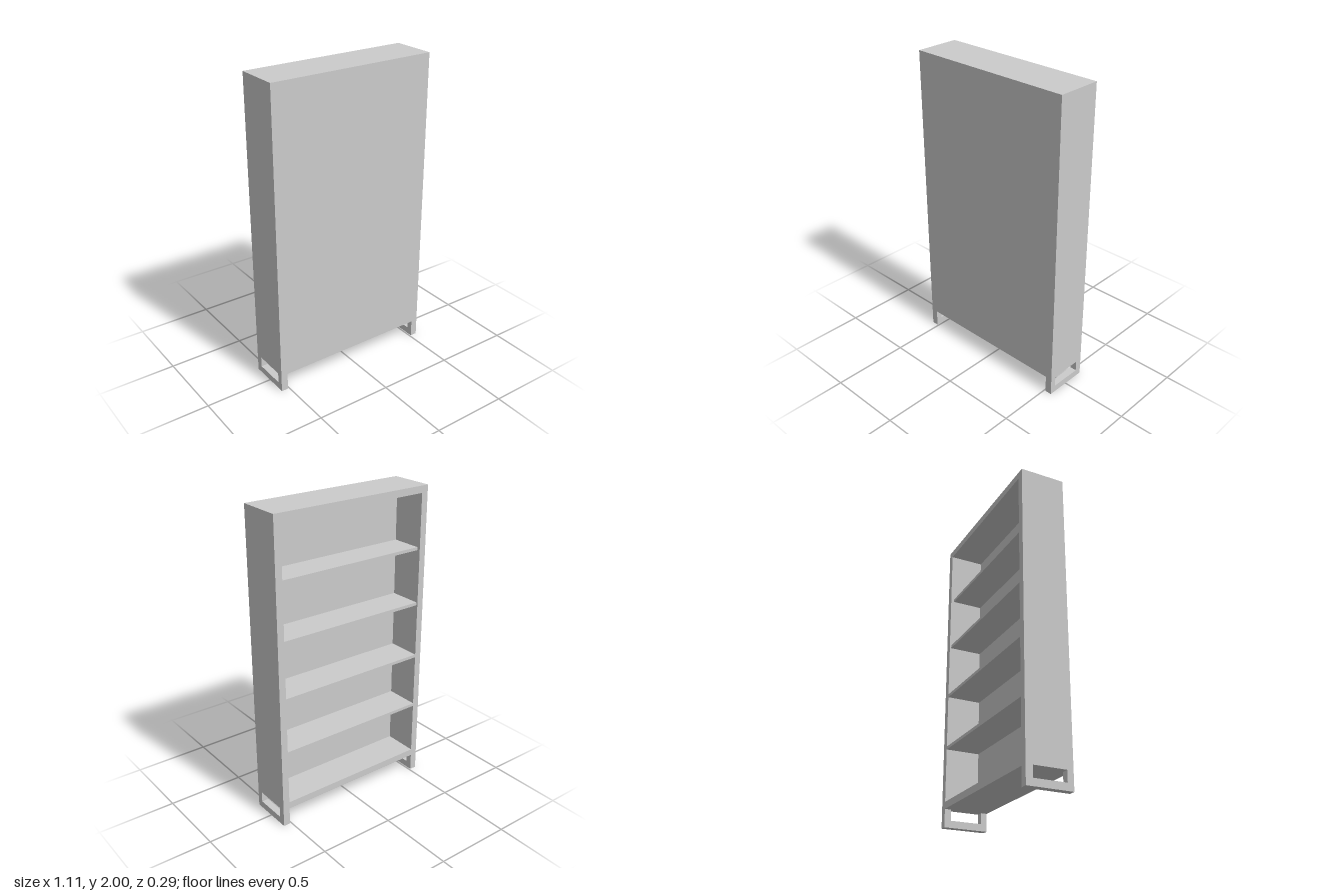
import * as THREE from 'three';

export function createModel() {
  const group = new THREE.Group();
  group.name = 'bookcase';
  const material = new THREE.MeshStandardMaterial({ color: 0xcccccc });

  const W = 0.555, D = 0.145, H = 2; // half width, half depth, height
  const T = 0.045;                   // frame thickness
  const base = 0.115;                // underside of the case
  const panelZ = 0.08;               // inner face of the closed panel
  const inner = 2 * (W - T);

  const add = (name, geometry) => {
    const mesh = new THREE.Mesh(geometry, material);
    mesh.name = name;
    group.add(mesh);
    return mesh;
  };

  // Board between the sides, given by its y and z limits
  const board = (name, y0, y1, z0, z1) => {
    const mesh = add(name, new THREE.BoxGeometry(inner, y1 - y0, z1 - z0));
    mesh.position.set(0, (y0 + y1) / 2, (z0 + z1) / 2);
  };

  // Side panels, each with a slot that forms a sled foot
  const rect = (P, z0, z1, y0, y1) => {
    const p = new P();
    p.moveTo(z0, y0);
    p.lineTo(z1, y0);
    p.lineTo(z1, y1);
    p.lineTo(z0, y1);
    p.closePath();
    return p;
  };
  const profile = rect(THREE.Shape, -D, D, 0, H);
  profile.holes.push(rect(THREE.Path, -0.102, 0.106, T, base));
  const sideGeometry = new THREE.ExtrudeGeometry(profile, { depth: T, bevelEnabled: false });
  sideGeometry.rotateY(-Math.PI / 2);
  add('leftSide', sideGeometry).position.x = W;
  add('rightSide', sideGeometry).position.x = -W + T;

  // Closed panel, top and bottom boards
  board('closedPanel', base, H, panelZ, D);
  board('topBoard', H - T, H, -D, panelZ);
  board('bottomBoard', base, base + T, -D, panelZ);

  // Four evenly spaced shelves, the upper two slightly set back
  const shelfT = 0.02, count = 4;
  const bay = (H - base - 2 * T - count * shelfT) / (count + 1);
  const setBack = [0, 0, 0.01, 0.022];
  for (let i = 0; i < count; i++) {
    const y = base + T + bay + i * (bay + shelfT);
    board(`shelf${i + 1}`, y, y + shelfT, -D + setBack[i], panelZ);
  }

  return group;
}
